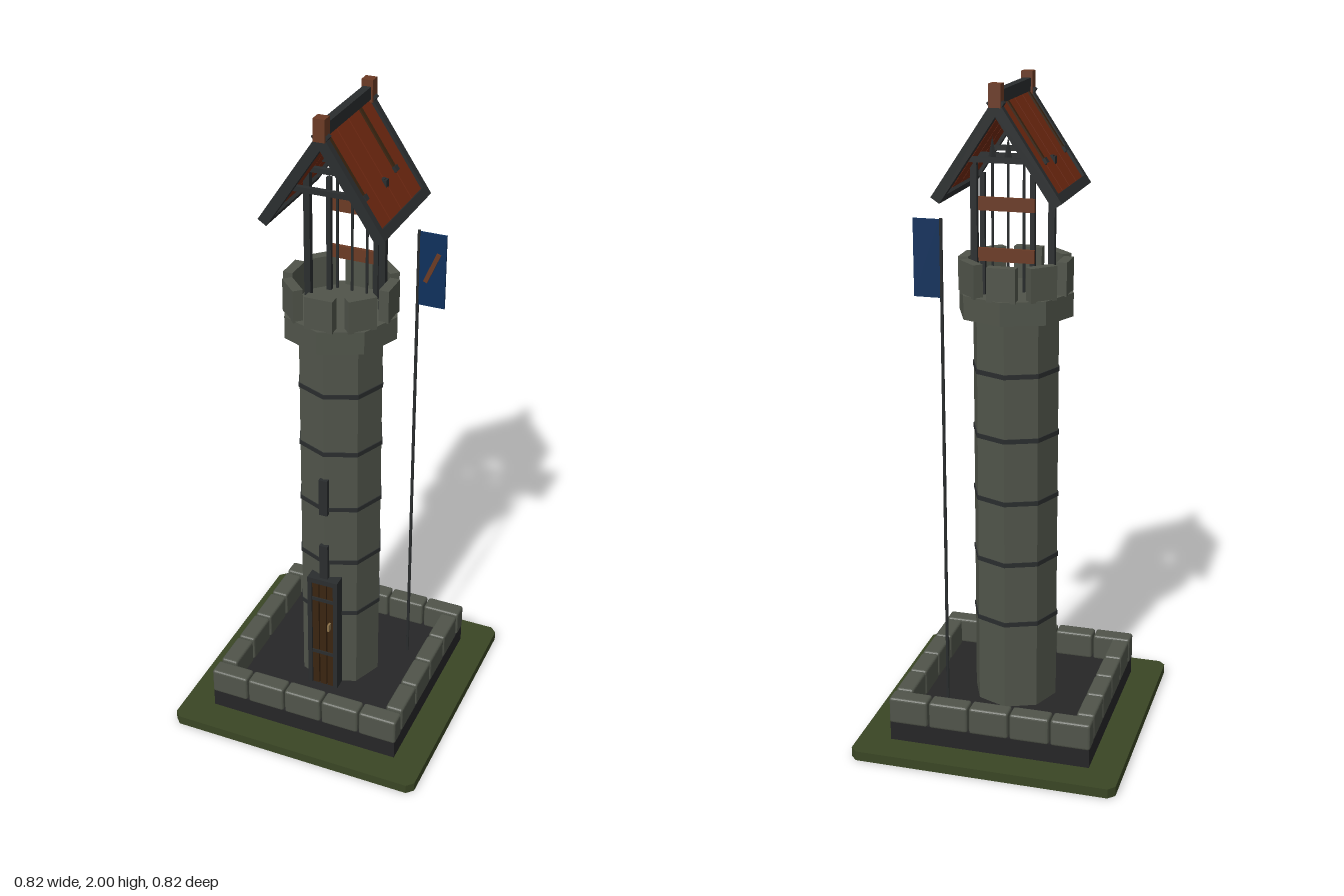
import * as THREE from 'three';
import { RoundedBoxGeometry } from 'three/addons/geometries/RoundedBoxGeometry.js';

const mat = (name, color) => {
  const m = new THREE.MeshStandardMaterial({ color });
  m.name = name;
  m.flatShading = true;
  return m;
};

export function createModel() {
  const stone = mat('stone', 0x50544a);
  const slate = mat('darkSlate', 0x262627);
  const grass = mat('grass', 0x3a4624);
  const rust = mat('roofRed', 0x702810);
  const darkWood = mat('darkWood', 0x3a2410);
  const wood = mat('brownWood', 0x6b3a24);
  const iron = mat('iron', 0x2a2d2e);
  const blue = mat('flagBlue', 0x0e305c);
  const brass = mat('brass', 0x8a7048);

  const model = new THREE.Group();
  model.name = 'watchtower';
  const group = (name, parent = model) => {
    const g = new THREE.Group();
    g.name = name;
    parent.add(g);
    return g;
  };
  const add = (parent, name, geo, m, x = 0, y = 0, z = 0) => {
    const mesh = new THREE.Mesh(geo, m);
    mesh.name = name;
    mesh.position.set(x, y, z);
    parent.add(mesh);
    return mesh;
  };
  // Box given by its centre and size
  const box = (parent, name, m, [x, y, z], [w, h, d]) =>
    add(parent, name, new THREE.BoxGeometry(w, h, d), m, x, y, z);
  // Upright eight-sided prism with corners on the axes
  const octagon = (parent, name, m, r, y0, y1) =>
    add(parent, name, new THREE.CylinderGeometry(r, r, y1 - y0, 8), m, 0, (y0 + y1) / 2, 0);

  // Ground slab with clipped corners
  const s = 0.408, c = 0.388;
  const outline = [[s, c], [c, s], [-c, s], [-s, c], [-s, -c], [-c, -s], [c, -s], [s, -c]];
  const slab = new THREE.ExtrudeGeometry(
    new THREE.Shape(outline.map(p => new THREE.Vector2(...p))),
    { depth: 0.03, bevelEnabled: false });
  slab.rotateX(-Math.PI / 2);
  add(model, 'ground', slab, grass);

  // Plinth and low wall of stone blocks
  box(model, 'plinth', slate, [0, 0.06, 0], [0.62, 0.06, 0.62]);
  const wall = group('lowWall');
  const block = (x, z, w, d) =>
    add(wall, 'wallBlock', new RoundedBoxGeometry(w, 0.085, d, 2, 0.008), stone, x, 0.129, z);
  for (const side of [-1, 1]) {
    for (let i = -2; i <= 2; i++) block(i * 0.126, side * 0.285, 0.121, 0.055);
    for (let i = -1.5; i <= 1.5; i++) block(side * 0.284, i * 0.126, 0.055, 0.121);
  }

  // Shaft, joint bands and parapet
  const tower = group('tower');
  octagon(tower, 'shaft', stone, 0.13, 0.09, 1.32);
  for (let i = 0; i < 5; i++) {
    const y = 0.37 + i * 0.197;
    octagon(tower, 'band', iron, 0.133, y - 0.007, y + 0.007);
  }
  octagon(tower, 'parapet', stone, 0.173, 1.32, 1.39);
  for (let i = 0; i < 8; i++) {
    const a = i * Math.PI / 4, r = 0.147;
    const merlon = box(tower, 'merlon', stone,
      [r * Math.sin(a), 1.436, r * Math.cos(a)], [0.085, 0.1, 0.03]);
    merlon.rotation.y = a;
  }

  // Door with jambs, planks, straps and handle
  const door = group('door');
  for (const x of [-0.043, 0.043]) box(door, 'jamb', iron, [x, 0.3, 0.125], [0.014, 0.42, 0.05]);
  box(door, 'lintel', iron, [0, 0.501, 0.125], [0.1, 0.018, 0.05]);
  box(door, 'doorBack', wood, [0, 0.29, 0.12], [0.074, 0.4, 0.03]);
  for (const x of [-0.025, 0, 0.025])
    box(door, 'doorPlank', darkWood, [x, 0.29, 0.138], [0.021, 0.4, 0.014]);
  for (const y of [0.22, 0.43]) box(door, 'strap', iron, [0, y, 0.146], [0.072, 0.012, 0.004]);
  box(door, 'handle', brass, [0.024, 0.335, 0.152], [0.006, 0.025, 0.016]);

  // Narrow windows above the door
  for (const y of [0.57, 0.81]) box(tower, 'arrowSlit', iron, [0, y, 0.13], [0.027, 0.125, 0.018]);

  // Two posts carrying the roof
  const roof = group('roof');
  for (const x of [-0.115, 0.115]) box(roof, 'post', iron, [x, 1.585, -0.03], [0.019, 0.4, 0.019]);
  for (const z of [-0.112, -0.03, 0.108])
    box(roof, 'crossbeam', iron, [0, 1.78, z], [0.236, 0.015, 0.015]);

  // Roof slopes: local x runs down the slope, local y points outward
  const pitch = Math.atan2(0.28, 0.187);
  for (const side of [1, -1]) {
    const half = group(side > 0 ? 'leftSlope' : 'rightSlope', roof);
    half.position.set(0, 1.965, -0.033);
    half.rotation.y = side > 0 ? 0 : Math.PI;
    const slope = group('slope', half);
    slope.rotation.z = -pitch;
    for (let i = 0; i < 4; i++)
      box(slope, 'roofPlank', rust, [0.165, -0.014, side * (-0.1185 + i * 0.079)], [0.29, 0.012, 0.075]);
    for (const z of [-0.164, 0.164]) box(slope, 'rafter', iron, [0.168, -0.015, z], [0.336, 0.03, 0.023]);
    box(slope, 'eave', iron, [0.322, -0.015, 0], [0.028, 0.03, 0.306]);
    for (const z of [-0.079, 0.141]) {
      box(slope, 'batten', darkWood, [0.117, -0.006, side * z], [0.19, 0.006, 0.014]);
      box(slope, 'battenEnd', iron, [0.214, -0.005, side * z], [0.016, 0.012, 0.02]);
    }
  }
  box(roof, 'ridge', iron, [0, 1.963, -0.033], [0.024, 0.036, 0.35]);
  for (const z of [-0.197, 0.131]) box(roof, 'finial', wood, [0, 1.968, z], [0.034, 0.064, 0.034]);

  // Rack with spears on the lookout platform
  const rack = group('spearRack');
  for (const x of [-0.073, 0.073]) box(rack, 'rackPost', iron, [x, 1.565, -0.085], [0.014, 0.35, 0.014]);
  for (const y of [1.51, 1.655]) box(rack, 'rackBoard', wood, [0, y, -0.098], [0.164, 0.038, 0.012]);
  for (const x of [-0.046, 0, 0.046]) {
    add(rack, 'spearShaft', new THREE.CylinderGeometry(0.004, 0.004, 0.39, 6), iron, x, 1.597, -0.08);
    add(rack, 'spearHead', new THREE.ConeGeometry(0.012, 0.06, 4), iron, x, 1.81, -0.08);
  }

  // Flag on a tall pole
  const flag = group('flag');
  add(flag, 'pole', new THREE.CylinderGeometry(0.005, 0.005, 1.52, 8), iron, 0.188, 0.85, -0.118);
  box(flag, 'cloth', blue, [0.231, 1.493, -0.118], [0.08, 0.228, 0.006]);
  const slash = box(flag, 'stripe', wood, [0.231, 1.502, -0.113], [0.013, 0.1, 0.006]);
  slash.rotation.z = -0.4;

  return model;
}
